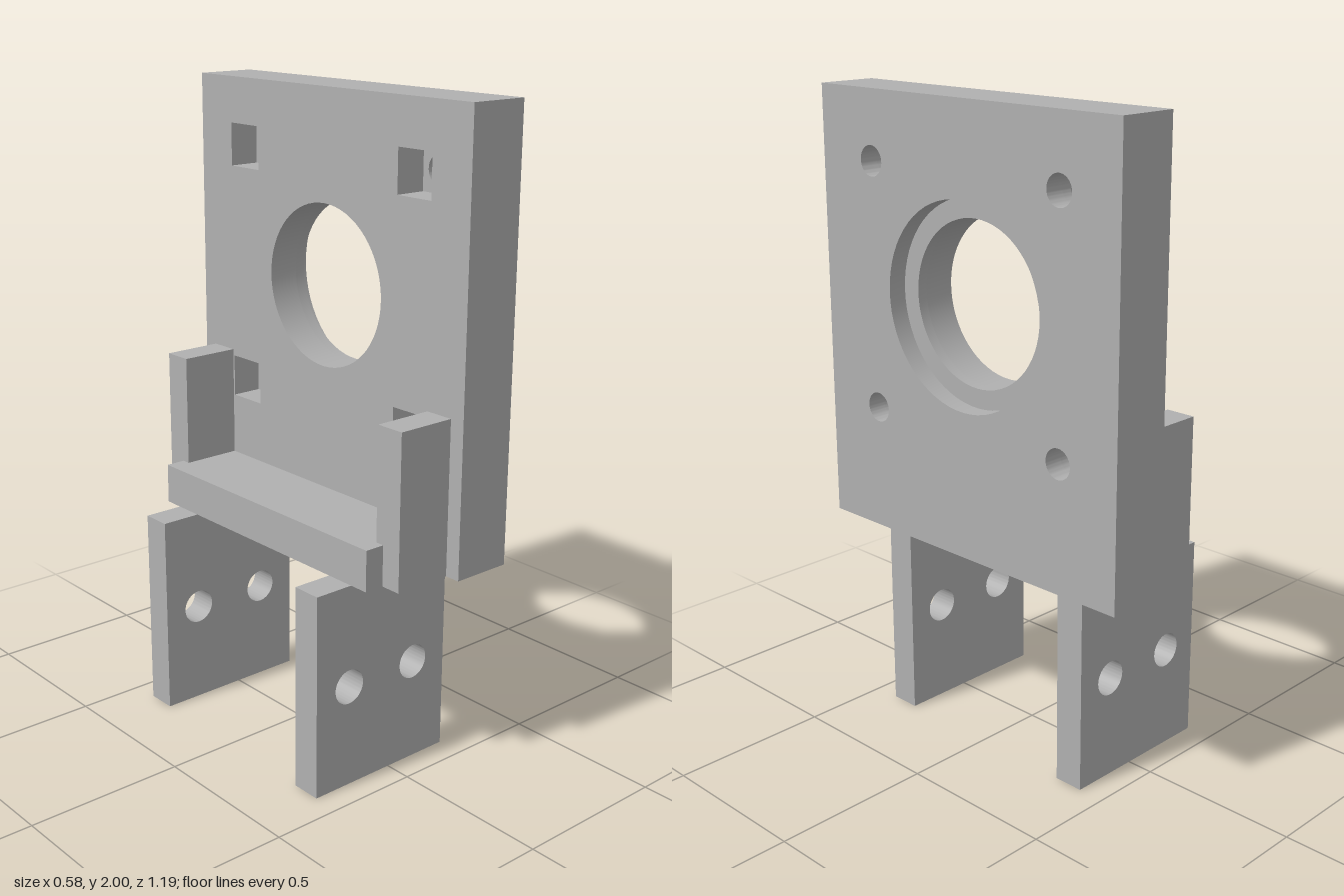
import * as THREE from 'three';
import { toCreasedNormals } from 'three/addons/utils/BufferGeometryUtils.js';

const grey = new THREE.MeshStandardMaterial({ color: 0xb0b0b0 });
grey.name = 'grey';

const BOTTOM = 0.643; // underside of the plate, shelf and posts
const BORE_Y = 1.41;
const BOLTS = [[-0.377, 1.79], [0.377, 1.79], [-0.377, 1.035], [0.377, 1.035]];

function rectangle(Type, x0, x1, y0, y1) {
  return new Type([[x0, y0], [x1, y0], [x1, y1], [x0, y1]].map(([x, y]) => new THREE.Vector2(x, y)));
}

function circle(x, y, r) {
  const path = new THREE.Path();
  path.absarc(x, y, r, 0, Math.PI * 2, true);
  return path;
}

// Flat slab with holes, extruded along z from 0 to depth
function slab(shape, holes, depth) {
  shape.holes.push(...holes);
  const geometry = new THREE.ExtrudeGeometry(shape, { depth, bevelEnabled: false, curveSegments: 32 });
  return toCreasedNormals(geometry, 0.6);
}

function addMesh(parent, name, geometry) {
  const mesh = new THREE.Mesh(geometry, grey);
  mesh.name = name;
  parent.add(mesh);
  return mesh;
}

function addBox(parent, name, x0, x1, y0, y1, z0, z1) {
  const mesh = addMesh(parent, name, new THREE.BoxGeometry(x1 - x0, y1 - y0, z1 - z0));
  mesh.position.set((x0 + x1) / 2, (y0 + y1) / 2, (z0 + z1) / 2);
}

export function createModel() {
  const model = new THREE.Group();
  model.name = 'mountingBracket';

  // Upright plate in three layers: nut pockets, bolt holes, bearing recess
  const plate = new THREE.Group();
  plate.name = 'plate';
  model.add(plate);
  const boltHoles = () => BOLTS.map(([z, y]) => circle(z, y, 0.046));
  const nutPockets = () => BOLTS.map(([z, y]) =>
    rectangle(THREE.Path, z - 0.067, z + 0.067, y - 0.067, y + 0.067));
  const layers = [
    ['nutPocketLayer', 0.095, 0.195, 0.25, nutPockets()],
    ['boltHoleLayer', 0.195, 0.228, 0.25, boltHoles()],
    ['bearingRecessLayer', 0.228, 0.288, 0.31, boltHoles()],
  ];
  for (const [name, x0, x1, radius, holes] of layers) {
    const outline = rectangle(THREE.Shape, -0.593, 0.593, BOTTOM, 2);
    const geometry = slab(outline, [circle(0, BORE_Y, radius), ...holes], x1 - x0);
    geometry.rotateY(Math.PI / 2);
    addMesh(plate, name, geometry).position.x = x0;
  }

  // Shelf behind the plate
  addBox(model, 'shelf', -0.16, 0.095, BOTTOM, 0.77, -0.478, 0.478);

  // Mirrored posts and drilled legs
  for (const side of [-1, 1]) {
    const prefix = side > 0 ? 'front' : 'back';
    const inner = side * 0.45, outer = side * 0.544;
    addBox(model, prefix + 'Post', -0.096, 0.095, BOTTOM, 1.122,
      Math.min(inner, outer), Math.max(inner, outer));

    const leg = slab(rectangle(THREE.Shape, -0.288, 0.224, 0, BOTTOM),
      [circle(-0.162, 0.322, 0.054), circle(0.095, 0.322, 0.054)], 0.095);
    addMesh(model, prefix + 'Leg', leg).position.z = side * 0.368 - 0.0475;
  }
  return model;
}
